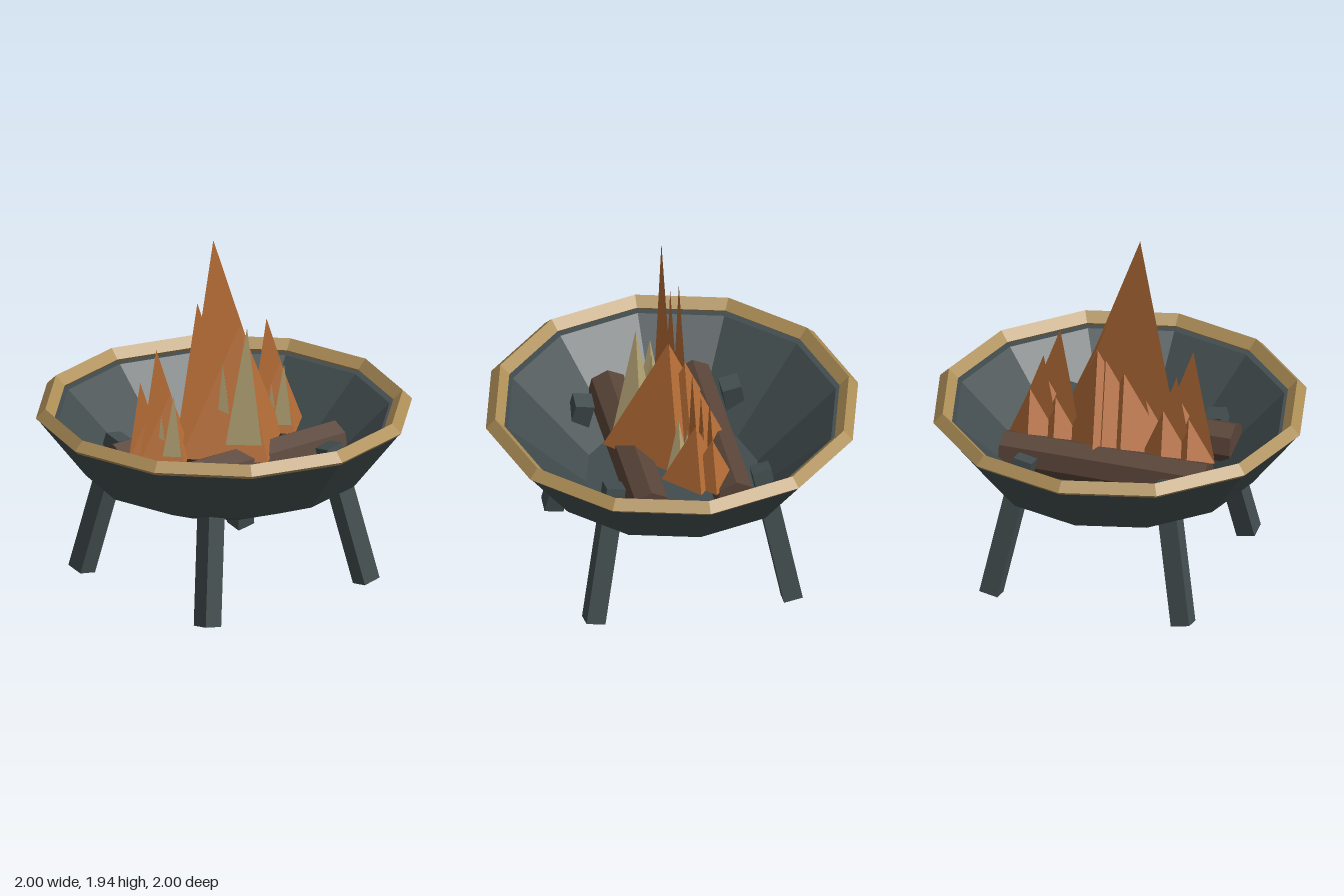
import * as THREE from 'three';

const mat = (color, side = THREE.FrontSide) =>
  new THREE.MeshStandardMaterial({ color, flatShading: true, side });

function add(parent, name, geometry, material) {
  const mesh = new THREE.Mesh(geometry, material);
  mesh.name = name;
  parent.add(mesh);
  return mesh;
}

// Four-sided pyramid: corners listed counter-clockwise seen from above
function pyramid(corners, apex) {
  const pos = [];
  corners.forEach((c, i) => pos.push(...c, ...corners[(i + 1) % 4], ...apex));
  const [a, b, c, d] = corners;
  pos.push(...a, ...c, ...b, ...a, ...d, ...c);
  const g = new THREE.BufferGeometry();
  g.setAttribute('position', new THREE.Float32BufferAttribute(pos, 3));
  g.computeVertexNormals();
  return g;
}

// Flat leaning blade backed by a lower solid body
function tongue(parent, x, z, height, material, thin) {
  const s = height / 1.18;
  const p = (dx, dy, dz) => [x + dx * s, dy * s, z + dz * s];
  const body = pyramid(
    [p(-0.22, 0, 0), p(0.1, 0, 0.335), p(0.46, 0, 0), p(0.12, 0, -0.29)],
    p(0.18, 0.66, 0)
  );
  add(parent, 'flameBody', body, material);
  const outline = new THREE.Shape([
    new THREE.Vector2(x - 0.22 * s, 0),
    new THREE.Vector2(x + 0.43 * s, 0),
    new THREE.Vector2(x, height),
  ]);
  add(parent, 'flameBlade', new THREE.ShapeGeometry(outline), thin).position.z = z;
}

export function createModel() {
  const model = new THREE.Group();
  model.name = 'firePit';
  const metal = mat(0x424c4e);
  const shell = mat(0x424c4e, THREE.DoubleSide);
  const brass = mat(0xad8e57);
  const wood = mat(0x594438);
  const fire = mat(0xb46c36);
  const fireThin = mat(0xb46c36, THREE.DoubleSide);
  const ember = mat(0xb5a475);

  // Twelve-sided bowl: outer shell over the lip and down a straight inner wall
  const profile = [[0, 0.5], [0.455, 0.5], [0.735, 0.62], [0.98, 0.935], [0.88, 0.935], [0.46, 0.53], [0, 0.53]]
    .map(([r, y]) => new THREE.Vector2(r, y));
  add(model, 'bowl', new THREE.LatheGeometry(profile, 12), shell);

  // Diamond-section rim
  const rim = add(model, 'rim', new THREE.TorusGeometry(0.95, 0.05, 4, 12), brass);
  rim.rotation.x = Math.PI / 2;
  rim.position.y = 0.955;

  // Splayed legs, passing through the bowl floor
  for (const sx of [-1, 1]) {
    for (const sz of [-1, 1]) {
      const leg = add(model, 'leg', new THREE.BoxGeometry(0.103, 0.78, 0.103), metal);
      leg.position.set(sx * 0.462, 0.395, sz * 0.462);
      leg.rotation.set(-sz * 0.183, 0, sx * 0.183);
    }
  }

  // Two seven-sided logs, one edge on top
  for (const sz of [-1, 1]) {
    const geometry = new THREE.CylinderGeometry(0.11, 0.11, 1.13, 7);
    geometry.rotateY(Math.PI / 2).rotateZ(Math.PI / 2);
    add(model, 'log', geometry, wood).position.set(0, 0.71, sz * 0.228);
  }

  // One large flame and two smaller copies: [x, z, scale]
  for (const [x, z, scale] of [[0, 0, 1], [-0.37, -0.06, 0.52], [0.37, -0.06, 0.52]]) {
    const flame = new THREE.Group();
    flame.name = scale === 1 ? 'mainFlame' : 'sideFlame';
    // Tongues keep the same spacing at every flame size: [dx, dz, height]
    for (const [dx, dz, height] of [[0, 0, 1.18], [0.065, -0.08, 0.945], [-0.06, -0.06, 0.82]]) {
      tongue(flame, -0.1 + dx / scale, 0.036 + dz / scale, height, fire, fireThin);
    }
    // Pale inner tips
    add(flame, 'flameTip', pyramid(
      [[-0.15, 0, 0.18], [0, 0, 0.335], [0.09, 0, 0.18], [0, 0, 0.07]],
      [0, 0.71, 0.195]), ember);
    add(flame, 'flameTip', pyramid(
      [[-0.15, 0, 0.1], [-0.08, 0, 0.19], [-0.01, 0, 0.1], [-0.08, 0, 0.04]],
      [-0.08, 0.49, 0.09]), ember);
    flame.position.set(x, 0.76, z);
    flame.scale.setScalar(scale);
    model.add(flame);
  }
  return model;
}
